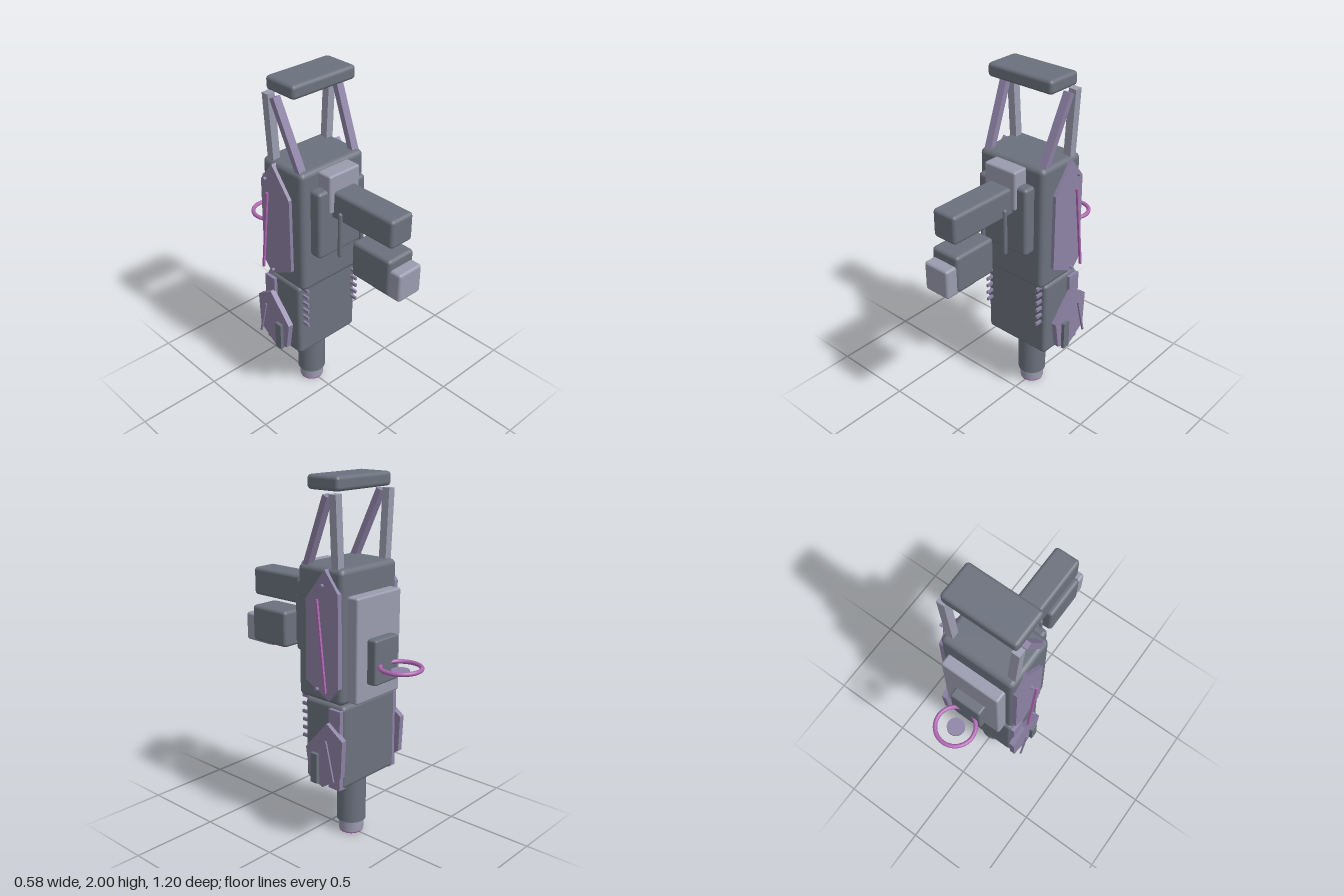
import * as THREE from 'three';
import { RoundedBoxGeometry } from 'three/addons/geometries/RoundedBoxGeometry.js';

const material = (name, color) => {
  const m = new THREE.MeshStandardMaterial({ color });
  m.name = name;
  return m;
};

export function createModel() {
  const model = new THREE.Group();
  model.name = 'device';
  const dark = material('dark grey', 0x6b717d);
  const light = material('light grey', 0x9a9bae);
  const purple = material('dusty purple', 0x8d82a5);
  const pink = material('pink accent', 0xb068b2);

  const add = (name, geometry, mat, x = 0, y = 0, z = 0) => {
    const mesh = new THREE.Mesh(geometry, mat);
    mesh.name = name;
    mesh.position.set(x, y, z);
    model.add(mesh);
    return mesh;
  };

  // Rounded block given by its extents
  const block = (name, mat, [x0, x1], [y0, y1], [z0, z1], r = 0.015) =>
    add(name, new RoundedBoxGeometry(x1 - x0, y1 - y0, z1 - z0, 2, r), mat,
      (x0 + x1) / 2, (y0 + y1) / 2, (z0 + z1) / 2);

  // Square bar between two points
  const bar = (name, mat, a, b, width, depth = width) => {
    const p = new THREE.Vector3(...a), q = new THREE.Vector3(...b);
    const d = q.clone().sub(p);
    const mesh = add(name, new THREE.BoxGeometry(width, d.length(), depth), mat);
    mesh.position.copy(p).add(q).multiplyScalar(0.5);
    mesh.quaternion.setFromUnitVectors(new THREE.Vector3(0, 1, 0), d.normalize());
    return mesh;
  };

  // Side armour: outline in (z, y), thickness along x
  const sidePlate = (name, points, x, thickness) => {
    const shape = new THREE.Shape(points.map(([z, y]) => new THREE.Vector2(-z, y)));
    const g = new THREE.ExtrudeGeometry(shape, { depth: thickness, bevelEnabled: false });
    g.translate(0, 0, -thickness / 2);
    g.rotateY(Math.PI / 2);
    add(name, g, purple, x);
  };

  // Main bodies and top handle
  block('upperBody', dark, [-0.22, 0.22], [0.83, 1.55], [-0.27, 0.04], 0.03);
  block('lowerBody', dark, [-0.215, 0.215], [0.36, 0.83], [-0.28, -0.005], 0.025);
  block('topHandle', dark, [-0.21, 0.21], [1.925, 2], [-0.23, -0.02], 0.02);

  // Chest mount, arm and hanging box
  block('chestPlate', dark, [-0.165, 0.165], [1.055, 1.45], [0.03, 0.11], 0.02);
  block('chestBracket', light, [-0.105, 0.105], [1.315, 1.535], [0.03, 0.125], 0.012);
  block('arm', dark, [-0.076, 0.076], [1.28, 1.44], [0.09, 0.53], 0.02);
  block('hangingBox', dark, [-0.09, 0.09], [1.01, 1.22], [0.27, 0.535], 0.02);
  block('hangingBoxCap', light, [-0.08, 0.08], [1.0, 1.165], [0.4, 0.6], 0.015);
  add('capUnderside', new THREE.BoxGeometry(0.1, 0.008, 0.16), pink, 0, 0.998, 0.485);

  // Back pack with ring
  block('backPlate', light, [-0.175, 0.175], [0.845, 1.41], [-0.335, -0.255], 0.012);
  block('backBox', dark, [-0.095, 0.095], [0.94, 1.185], [-0.39, -0.325], 0.012);
  const ring = add('backRing', new THREE.TorusGeometry(0.108, 0.012, 10, 40), pink, 0, 1.042, -0.48);
  ring.rotation.x = Math.PI / 2;
  add('ringDisc', new THREE.CylinderGeometry(0.049, 0.049, 0.016, 28), purple, 0, 1.022, -0.477);

  // Bottom post
  const z = -0.152;
  add('post', new THREE.CylinderGeometry(0.082, 0.082, 0.3, 32), dark, 0, 0.228, z);
  add('postCollar', new THREE.CylinderGeometry(0.07, 0.07, 0.07, 32), light, 0, 0.05, z);
  add('postTip', new THREE.CylinderGeometry(0.056, 0.056, 0.014, 32), dark, 0, 0.012, z);
  const tipRing = add('postTipRing', new THREE.TorusGeometry(0.058, 0.011, 10, 32), pink, 0, 0.011, z);
  tipRing.rotation.x = Math.PI / 2;

  // Mirrored parts
  for (const s of [-1, 1]) {
    bar('frontStrut', purple, [s * 0.185, 1.54, -0.005], [s * 0.206, 1.905, -0.163], 0.045, 0.034);
    bar('backStrut', light, [s * 0.185, 1.54, -0.212], [s * 0.206, 1.915, -0.212], 0.045, 0.045);

    sidePlate('upperSidePlate', [[-0.04, 1.38], [-0.17, 1.545], [-0.26, 1.43],
      [-0.265, 0.93], [-0.2, 0.855], [-0.037, 0.94]], s * 0.225, 0.03);
    sidePlate('lowerSidePlate', [[-0.05, 0.565], [-0.2, 0.735], [-0.31, 0.66],
      [-0.3, 0.45], [-0.17, 0.36], [-0.075, 0.4]], s * 0.243, 0.032);
    add('cornerRib', new THREE.BoxGeometry(0.05, 0.45, 0.08), purple, s * 0.21, 0.585, -0.232);
    add('sideBar', new THREE.BoxGeometry(0.02, 0.17, 0.046), dark, s * 0.269, 0.465, -0.124);

    // Accent lines and studs standing off the plates
    bar('upperAccent', pink, [s * 0.285, 0.915, -0.215], [s * 0.285, 1.4, -0.158], 0.012);
    bar('lowerAccent', purple, [s * 0.284, 0.43, -0.27], [s * 0.284, 0.65, -0.215], 0.01);
    for (const [y, sz] of [[1.47, -0.185], [0.92, -0.148]]) {
      const stud = add('stud', new THREE.CylinderGeometry(0.009, 0.009, 0.016, 12), purple, s * 0.277, y, sz);
      stud.rotation.z = Math.PI / 2;
    }

    // Rods beside the arm
    add('armRod', new THREE.CapsuleGeometry(0.013, 0.244, 4, 12), dark, s * 0.078, 1.205, 0.173);

    // Row of small front pegs
    for (let i = 0; i < 6; i++) {
      add('frontPeg', new THREE.BoxGeometry(0.012, 0.018, 0.045), purple, s * 0.185, 0.82 - i * 0.0465, 0.016);
    }
  }
  return model;
}
